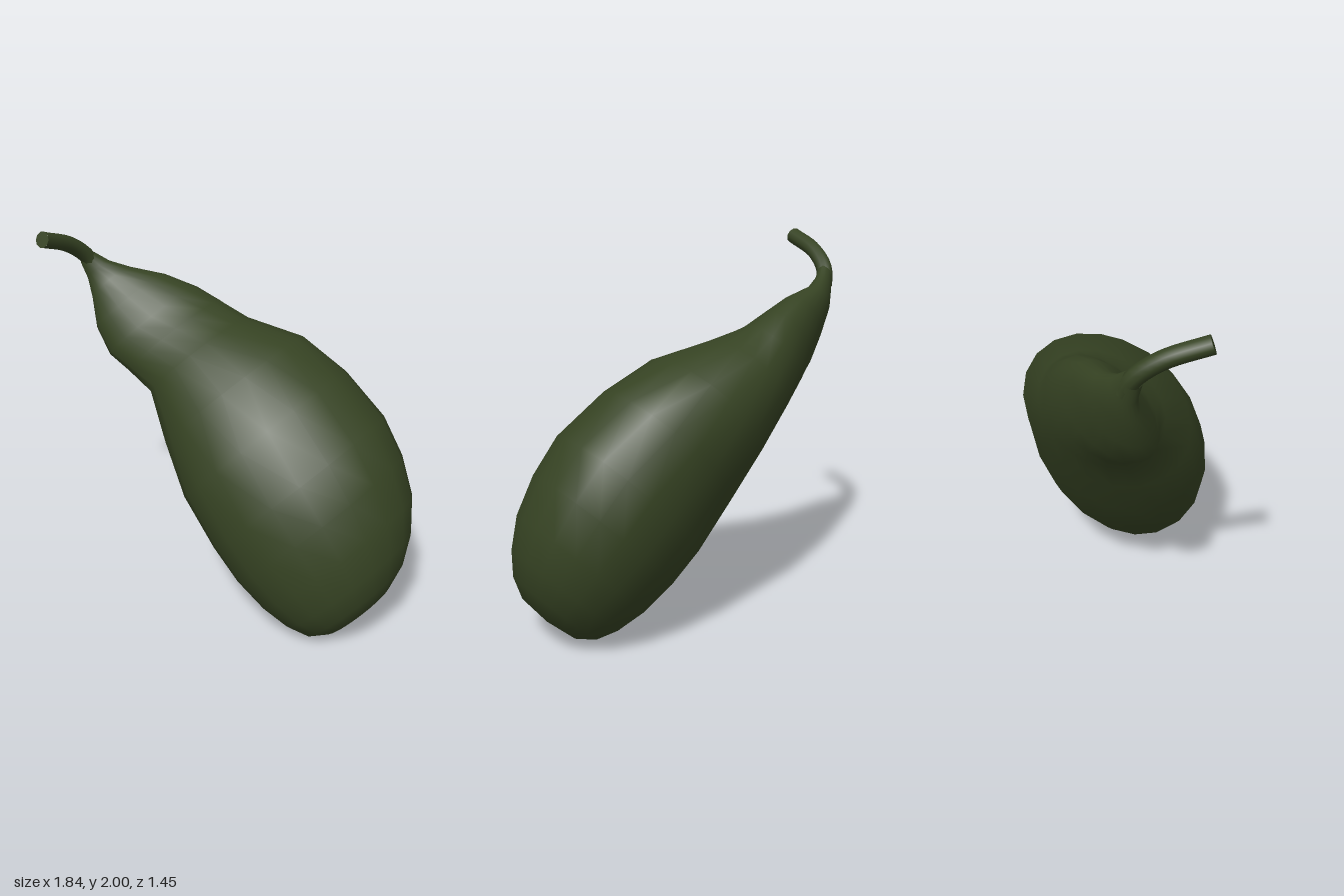
import * as THREE from 'three';

// Elliptical rings along a slanted axis: s (along), a, b (offsets), ru, rv (radii), tilt in degrees
const RINGS = [
  [-1.43, -0.165, -0.075, 0.046, 0.044, 0],
  [-1.35, -0.162, -0.115, 0.076, 0.052, 0],
  [-1.26, -0.152, -0.145, 0.132, 0.075, -4],
  [-1.11, -0.13, -0.148, 0.237, 0.125, -5],
  [-0.95, -0.1, -0.158, 0.302, 0.165, -6],
  [-0.81, -0.056, -0.158, 0.318, 0.205, -12],
  [-0.64, -0.012, -0.133, 0.337, 0.266, -18],
  [-0.37, 0.028, -0.075, 0.472, 0.366, -17],
  [-0.08, 0.014, -0.037, 0.547, 0.42, -7],
  [0.23, -0.002, -0.02, 0.572, 0.45, -4],
  [0.45, -0.032, -0.018, 0.552, 0.436, -4],
  [0.65, -0.066, -0.018, 0.498, 0.395, -4],
  [0.8, -0.108, -0.02, 0.417, 0.332, -4],
  [0.9, -0.146, -0.02, 0.326, 0.262, -4],
  [0.96, -0.17, -0.02, 0.21, 0.17, -4],
  [0.98, -0.175, -0.02, 0, 0, 0],
];
const SIDES = 20;

function loft(rings) {
  const origin = new THREE.Vector3(0.21, 0.915, 0.074);
  const d = new THREE.Vector3(0.526, -0.702, 0.48);
  const u = new THREE.Vector3(0.8, 0.6, 0);
  const v = new THREE.Vector3().crossVectors(d, u);
  const pos = [], idx = [];
  rings.forEach(([s, a, b, ru, rv, tilt], i) => {
    const c = Math.cos(tilt * Math.PI / 180), k = Math.sin(tilt * Math.PI / 180);
    for (let j = 0; j < SIDES; j++) {
      const t = (j / SIDES) * Math.PI * 2;
      const e = ru * Math.cos(t), f = rv * Math.sin(t);
      const p = origin.clone()
        .addScaledVector(d, s)
        .addScaledVector(u, a + e * c - f * k)
        .addScaledVector(v, b + e * k + f * c);
      pos.push(p.x, Math.max(0, p.y), p.z); // small flat where it rests
      if (i < rings.length - 1) {
        const m = i * SIDES + j, n = i * SIDES + (j + 1) % SIDES;
        idx.push(m, n, m + SIDES, n, n + SIDES, m + SIDES);
      }
    }
  });
  const g = new THREE.BufferGeometry();
  g.setAttribute('position', new THREE.Float32BufferAttribute(pos, 3));
  g.setIndex(idx);
  g.computeVertexNormals();
  return g;
}

export function createModel() {
  const model = new THREE.Group();
  model.name = 'gourd';
  const green = new THREE.MeshStandardMaterial({ color: 0x364323 });
  green.name = 'dark green skin';

  // Body with bulb and narrow neck
  const body = new THREE.Mesh(loft(RINGS), green);
  body.name = 'body';
  model.add(body);

  // Curved stalk with a flat cut end
  const path = new THREE.CatmullRomCurve3([
    [-0.6, 1.71, -0.68], [-0.655, 1.8, -0.67], [-0.75, 1.888, -0.6], [-0.89, 1.957, -0.46],
  ].map((p) => new THREE.Vector3(...p)));
  const stem = new THREE.Group();
  stem.name = 'stem';
  const stalk = new THREE.Mesh(new THREE.TubeGeometry(path, 12, 0.043, 10), green);
  stalk.name = 'stalk';
  const cut = new THREE.Mesh(new THREE.CircleGeometry(0.043, 10), green);
  cut.name = 'stalkEnd';
  cut.position.copy(path.getPoint(1));
  cut.quaternion.setFromUnitVectors(new THREE.Vector3(0, 0, 1), path.getTangent(1));
  stem.add(stalk, cut);
  model.add(stem);
  return model;
}
